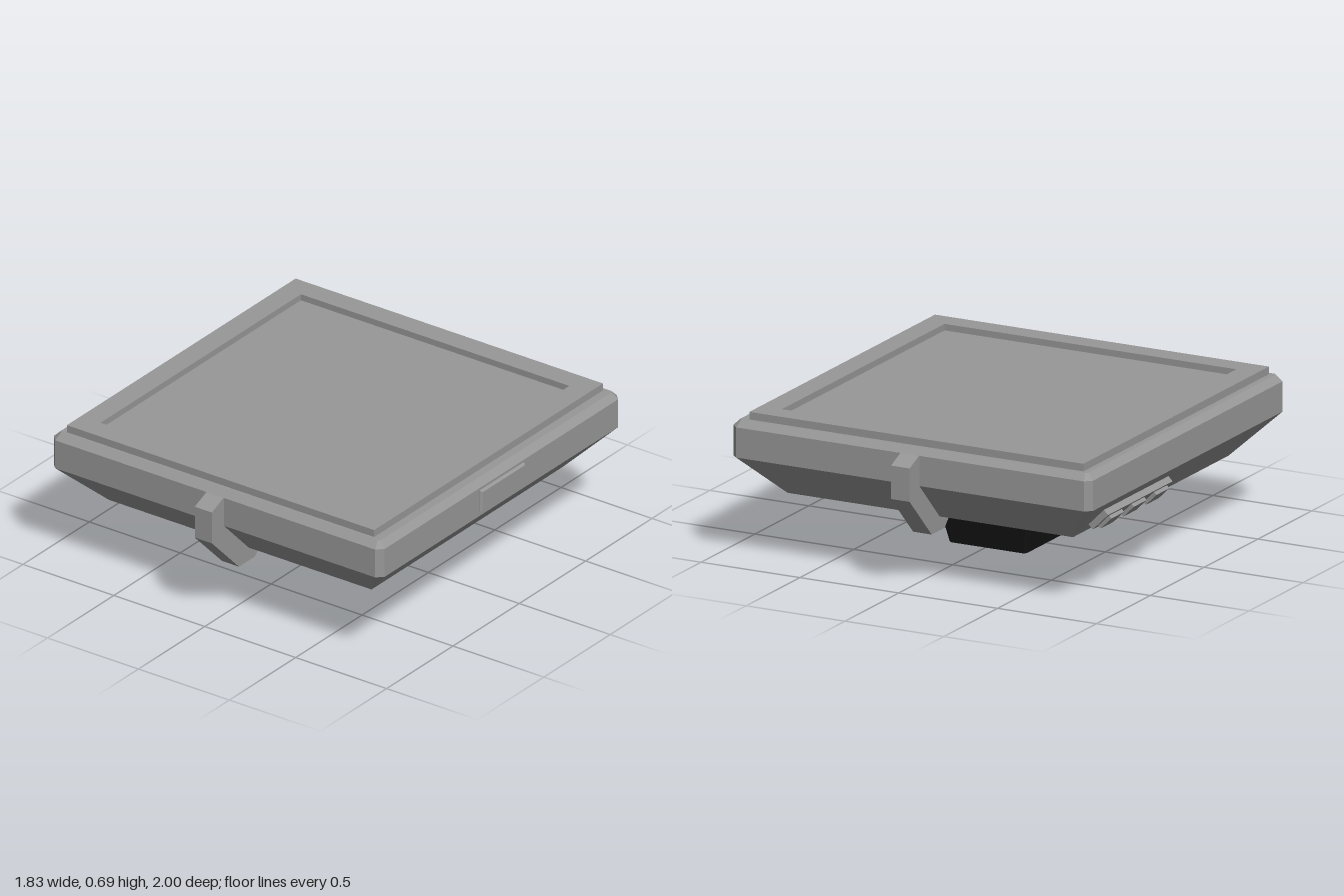
import * as THREE from 'three';

const grey = new THREE.MeshStandardMaterial({ color: 0x979797, flatShading: true });
const dark = new THREE.MeshStandardMaterial({ color: 0x141414, flatShading: true });
const metal = new THREE.MeshStandardMaterial({ color: 0xcccccc, side: THREE.DoubleSide });

// rectangular outline of half-widths hx, hz with corners cut by c
function ring([y, hx, c = 0, hz = hx]) {
  return [[hx, c - hz], [hx, hz - c], [hx - c, hz], [c - hx, hz], [-hx, hz - c], [-hx, c - hz], [c - hx, -hz], [hx - c, -hz]]
    .map(([x, z]) => [x, y, z]);
}

// skin through a list of [height, half-width, corner cut, half-depth] sections
function loft(sections) {
  const rings = sections.map(ring), pos = [];
  for (let i = 0; i < rings.length - 1; i++) {
    const a = rings[i], b = rings[i + 1];
    for (let j = 0; j < 8; j++) {
      const k = (j + 1) % 8;
      pos.push(...a[j], ...a[k], ...b[j], ...a[k], ...b[k], ...b[j]);
    }
  }
  const g = new THREE.BufferGeometry();
  g.setAttribute('position', new THREE.Float32BufferAttribute(pos, 3));
  g.computeVertexNormals();
  return g;
}

function add(parent, name, geometry, material = grey, x = 0, y = 0, z = 0) {
  const mesh = new THREE.Mesh(geometry, material);
  mesh.name = name;
  mesh.position.set(x, y, z);
  parent.add(mesh);
  return mesh;
}

const box = (w, h, d) => new THREE.BoxGeometry(w, h, d);

export function createModel() {
  const model = new THREE.Group();
  const body = new THREE.Group();
  body.name = 'body';
  body.position.x = -0.008;
  model.add(body);

  // raised top frame with its sunken panel
  add(body, 'topFrame', loft([
    [0.655, 0], [0.655, 0.738, 0, 0.755], [0.685, 0.738, 0, 0.755], [0.685, 0.845, 0, 0.862], [0.65, 0.845, 0, 0.862],
  ]), grey, -0.006, 0, 0);

  // bevelled housing, open below
  add(body, 'housing', loft([
    [0.65, 0.8], [0.65, 0.88, 0.01], [0.62, 0.91, 0.03], [0.48, 0.91, 0.03],
    [0.29, 0.722], [0.29, 0.6], [0.56, 0.6],
  ]));
  add(body, 'cavityCeiling', loft([[0.56, 0.6], [0.56, 0]]), dark);

  // tapered foot post hanging from a collar
  add(body, 'postNeck', box(0.5, 0.1, 0.5), dark, 0, 0.515, 0);
  add(body, 'postCollar', box(0.59, 0.02, 0.59), grey, 0, 0.475, 0);
  add(body, 'post', loft([
    [0.465, 0, 0], [0.465, 0.29, 0.012], [0.29, 0.255, 0.012], [0, 0.195, 0.012], [0, 0.168, 0.03], [0.03, 0.168, 0.03],
  ]), dark);

  // inset socket in the foot
  const plate = new THREE.Shape(ring([0, 0.168, 0.03]).map(([x, , z]) => new THREE.Vector2(x, z)));
  plate.holes.push(new THREE.Path().absarc(0, 0, 0.14, 0, Math.PI * 2, true));
  const plateGeometry = new THREE.ExtrudeGeometry(plate, { depth: 0.02, bevelEnabled: false, curveSegments: 32 });
  plateGeometry.rotateX(-Math.PI / 2);
  add(body, 'socketPlate', plateGeometry, metal, 0, 0.006, 0);
  const cup = [[0.14, 0.01], [0.14, 0.2], [0.001, 0.2]].map(([r, y]) => new THREE.Vector2(r, y));
  add(body, 'socketCup', new THREE.LatheGeometry(cup, 48), metal);

  // four ridged braces from the post up to the ceiling
  for (let i = 0; i < 4; i++) {
    const arm = new THREE.Group();
    arm.name = 'brace' + (i + 1);
    arm.rotation.y = i * Math.PI / 2;
    const tilt = new THREE.Group();
    tilt.position.set(0.41, 0.45, 0);
    tilt.rotation.z = 0.536;
    arm.add(tilt);
    add(tilt, 'braceBase', box(0.35, 0.06, 0.15));
    add(tilt, 'braceRidge', box(0.35, 0.04, 0.06), grey, 0, -0.045, 0);
    body.add(arm);
  }

  // hooked clips wrapping the front and back edges
  const outline = [[0.88, 0.625], [0.915, 0.62], [1, 0.585], [1, 0.43], [0.795, 0.225], [0.675, 0.225],
    [0.61, 0.29], [0.72, 0.29], [0.9, 0.47], [0.9, 0.6]];
  const clipShape = new THREE.Shape(outline.map(([z, y]) => new THREE.Vector2(z, y)));
  const clipGeometry = new THREE.ExtrudeGeometry(clipShape, { depth: 0.094, bevelEnabled: false });
  clipGeometry.translate(0, 0, -0.047);
  for (const [name, turn] of [['frontClip', -1], ['backClip', 1]]) {
    add(body, name, clipGeometry).rotation.y = turn * Math.PI / 2;
  }

  // bevelled port cover on the right wall
  add(model, 'portCover', loft([
    [0, 0], [0, 0.046, 0, 0.158], [-0.01, 0.054, 0, 0.167], [-0.03, 0.054, 0, 0.167],
  ]), grey, 0.915, 0.555, 0).rotation.z = -Math.PI / 2;

  // control strip with raised keys on the left slope
  const controls = new THREE.Group();
  controls.name = 'sideControls';
  controls.position.set(-0.828, 0.382, -0.38);
  controls.rotation.z = Math.PI / 4;
  model.add(controls);
  add(controls, 'controlStrip', box(0.03, 0.11, 0.6), grey, -0.01, 0, 0);
  for (const z of [-0.21, 0, 0.21]) add(controls, 'controlKey', box(0.05, 0.075, 0.12), grey, -0.017, 0, z);

  return model;
}
